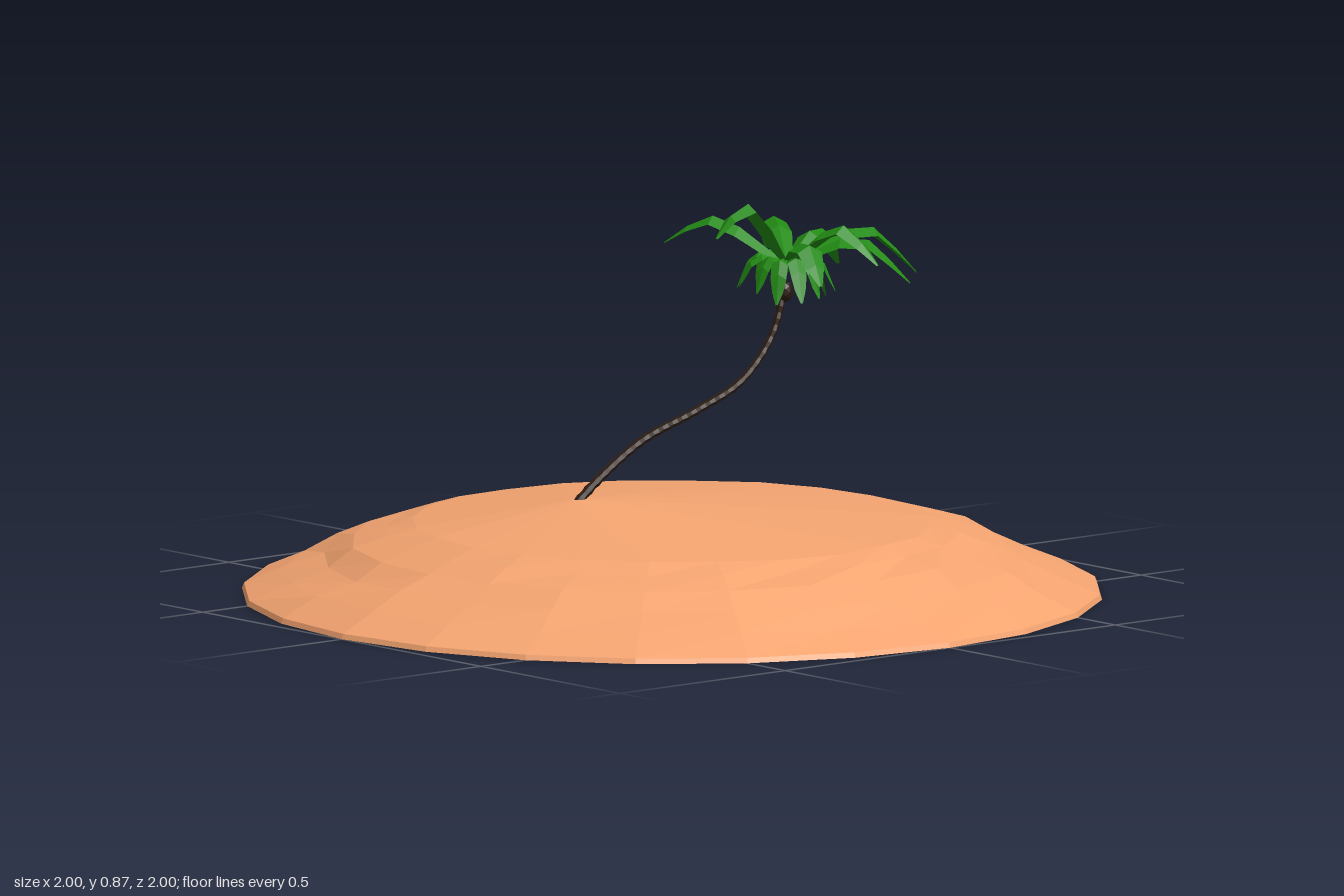
import * as THREE from 'three';

const V = (x, y, z) => new THREE.Vector3(x, y, z);

// Repeatable jitter in -1..1
let seed = 7;
const jitter = () => {
  seed = (seed * 16807) % 2147483647;
  return (seed / 2147483647) * 2 - 1;
};

function material(color) {
  return new THREE.MeshStandardMaterial({ color, flatShading: true, side: THREE.DoubleSide });
}

function mesh(name, geometry, mat) {
  const m = new THREE.Mesh(geometry, mat);
  m.name = name;
  return m;
}

// Faceted skin through rows of equally many points
function loft(rows, closed) {
  const n = rows[0].length;
  const index = [];
  for (let i = 0; i < rows.length - 1; i++) {
    for (let j = 0; j < (closed ? n : n - 1); j++) {
      const k = (j + 1) % n;
      const a = i * n + j, b = i * n + k, c = a + n, d = b + n;
      index.push(a, c, b, b, c, d);
    }
  }
  const g = new THREE.BufferGeometry().setFromPoints(rows.flat());
  g.setIndex(index);
  const flat = g.toNonIndexed();
  flat.computeVertexNormals();
  return flat;
}

// Sand mound: rough rings around a gently peaked, off-centre top
function sandGeometry() {
  const sides = 24;
  const apex = V(-0.21, 0.235, -0.09);
  const profile = [[0, 0, 0], [1, 0, 0], [0.995, 0.012, 0], [0.9, 0.052, 0.011], [0.82, 0.09, 0.013],
    [0.74, 0.125, 0.012], [0.665, 0.152, 0.008], [0.6, 0.17, 0.004]];
  const rows = profile.map(([r, y, rough]) => Array.from({ length: sides }, (_, j) => {
    const a = -(j / sides) * Math.PI * 2;
    const rr = r + rough * jitter();
    return V(Math.cos(a) * rr, y + rough * 0.5 * jitter() - (r === 0.6 ? 0.004 * Math.cos(a) : 0), Math.sin(a) * rr);
  }));
  rows.push(Array.from({ length: sides }, () => apex.clone()));
  // Rows run from the underside outwards and up, so flip the row order to face outward
  return loft(rows.reverse(), true);
}

// Bent trunk with ringed bark
function trunkGeometry() {
  const curve = new THREE.CatmullRomCurve3([[-0.23, 0.215], [-0.15, 0.275], [-0.02, 0.35], [0.15, 0.405],
    [0.28, 0.458], [0.37, 0.55], [0.405, 0.64], [0.412, 0.68]].map(([x, y]) => V(x, y, -0.085)));
  const steps = 56, sides = 7;
  const g = new THREE.TubeGeometry(curve, steps, 1, sides, false);
  const p = g.attributes.position, v = V(0, 0, 0);
  for (let i = 0; i < p.count; i++) {
    const ring = Math.floor(i / (sides + 1));
    const t = ring / steps;
    const centre = curve.getPointAt(t);
    const radius = (0.012 - 0.003 * t) * (ring % 2 ? 0.85 : 1.05);
    v.fromBufferAttribute(p, i).sub(centre).multiplyScalar(radius).add(centre);
    p.setXYZ(i, v.x, v.y, v.z);
  }
  g.computeVertexNormals();
  return g;
}

// Arched frond with a folded, roof-like cross-section
function frondGeometry(base, peak, tip, width) {
  const curve = new THREE.CatmullRomCurve3([base, peak, tip]);
  const out = V(tip.x - base.x, 0, tip.z - base.z).normalize();
  const side = V(-out.z, 0, out.x);
  const shape = [0.3, 0.75, 1, 0.95, 0.65, 0.12];
  const rows = shape.map((s, i) => {
    const c = curve.getPointAt(i / (shape.length - 1));
    const w = width * s;
    const edge = k => c.clone().addScaledVector(side, k * w).add(V(0, -w * 0.55, 0));
    return [edge(-1), c, edge(1)];
  });
  return loft(rows, false);
}

export function createModel() {
  const model = new THREE.Group();
  model.name = 'palmIsland';
  model.add(mesh('sandMound', sandGeometry(), material(0xf4a470)));

  const bark = material(0x2a1a10), leaf = material(0x228b14);
  const palm = new THREE.Group();
  palm.name = 'palmTree';
  model.add(palm);
  palm.add(mesh('trunk', trunkGeometry(), bark));

  const knob = mesh('crownKnob', new THREE.IcosahedronGeometry(0.021, 1), bark);
  knob.position.set(0.412, 0.655, -0.085);
  knob.scale.y = 1.25;
  palm.add(knob);

  const crown = V(0.42, 0.72, -0.085);
  const fronds = new THREE.Group();
  fronds.name = 'fronds';
  palm.add(fronds);

  // Long upper fronds: tip x, tip y, tip z, peak height
  const upper = [
    [0.28, 0.75, -0.36, 0.82], [0.53, 0.72, -0.29, 0.81], [0.63, 0.69, -0.15, 0.79],
    [0.725, 0.68, 0.02, 0.80], [0.62, 0.68, 0.12, 0.785], [0.485, 0.74, 0.165, 0.825],
    [0.35, 0.70, 0.12, 0.79], [0.21, 0.80, -0.09, 0.875],
  ];
  upper.forEach(([x, y, z, top], i) => {
    const tip = V(x, y, z);
    const peak = crown.clone().lerp(tip, 0.6).setY(top);
    fronds.add(mesh(`upperFrond${i + 1}`, frondGeometry(crown, peak, tip, 0.032), leaf));
  });

  // Short drooping fronds below
  const count = 11;
  for (let i = 0; i < count; i++) {
    const a = (i / count) * Math.PI * 2 + 0.25;
    const r = 0.115 + 0.025 * jitter();
    const tip = V(crown.x + Math.cos(a) * r, 0.655 + 0.02 * jitter(), crown.z + Math.sin(a) * r);
    const peak = crown.clone().lerp(tip, 0.62).setY(0.742);
    fronds.add(mesh(`lowerFrond${i + 1}`, frondGeometry(crown, peak, tip, 0.02), leaf));
  }
  return model;
}
